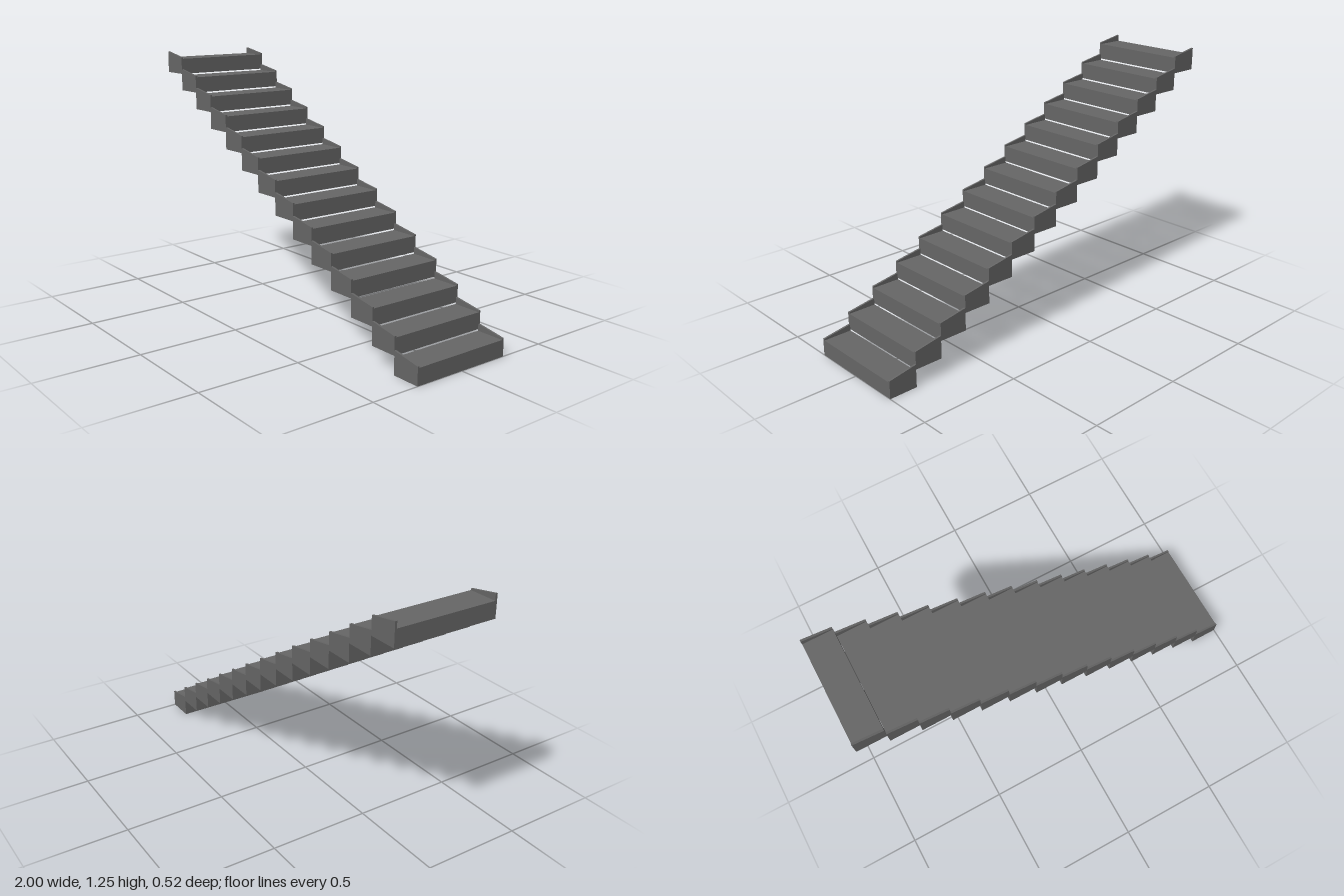
import * as THREE from 'three';

const STEPS = 14;
const RUN = 2 / STEPS;      // depth of one step along x
const RISE = 0.0875;        // height gained per step
const TREAD_H = 0.08;       // slightly below RISE, leaving an open slot
const INNER = 0.25;         // half width between the side plates
const PLATE = 0.01;         // side plate thickness

export function createModel() {
  const group = new THREE.Group();
  group.name = 'staircase';
  const material = new THREE.MeshStandardMaterial({ color: 0x666666, flatShading: true });

  // Solid tread block
  const treadGeometry = new THREE.BoxGeometry(RUN, TREAD_H, INNER * 2);
  treadGeometry.translate(0, TREAD_H / 2, 0);

  // Side plate with a top edge sloping down towards +x
  const profile = new THREE.Shape([
    new THREE.Vector2(-RUN / 2, 0),
    new THREE.Vector2(RUN / 2, 0),
    new THREE.Vector2(RUN / 2, 0.087),
    new THREE.Vector2(-RUN / 2, 0.112),
  ]);
  const plateGeometry = new THREE.ExtrudeGeometry(profile, { depth: PLATE, bevelEnabled: false });

  const addPart = (parent, name, geometry, z) => {
    const mesh = new THREE.Mesh(geometry, material);
    mesh.name = name;
    mesh.position.z = z;
    parent.add(mesh);
  };

  // Steps climb from +x to -x
  for (let i = 0; i < STEPS; i++) {
    const step = new THREE.Group();
    step.name = `step${i + 1}`;
    step.position.set(1 - RUN * (i + 0.5), RISE * i, 0);
    addPart(step, 'tread', treadGeometry, 0);
    addPart(step, 'frontSidePlate', plateGeometry, INNER);
    addPart(step, 'backSidePlate', plateGeometry, -INNER - PLATE);
    group.add(step);
  }
  return group;
}
